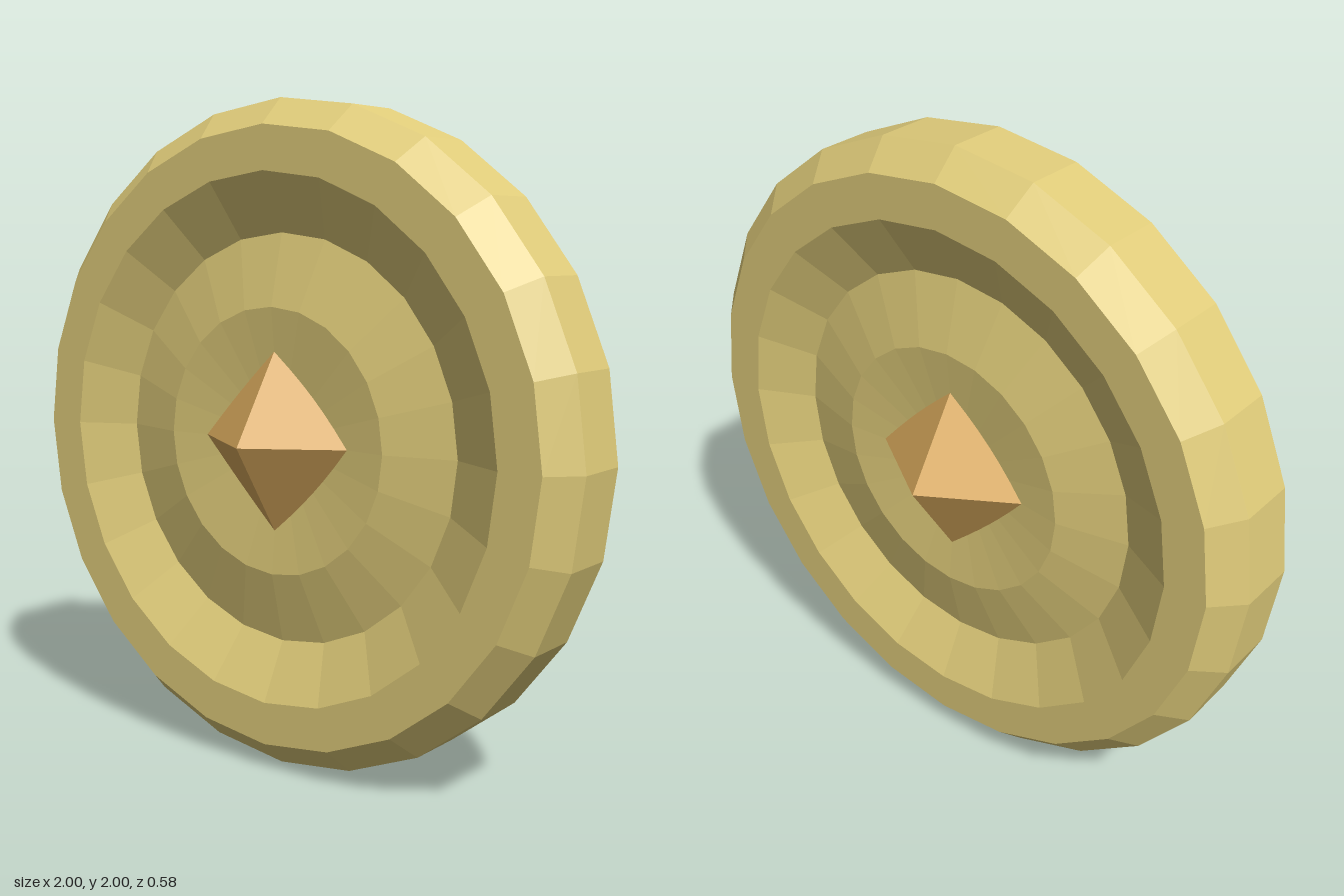
import * as THREE from 'three';

const gold = new THREE.MeshStandardMaterial({ color: 0xe0cc7a });
gold.name = 'pale gold';
const amber = new THREE.MeshStandardMaterial({ color: 0xdcac5e });
amber.name = 'amber';

// Gives every triangle its own normal for the faceted look
function faceted(geometry) {
  const flat = geometry.index ? geometry.toNonIndexed() : geometry;
  flat.computeVertexNormals();
  return flat;
}

function addPart(group, name, geometry, material) {
  const mesh = new THREE.Mesh(faceted(geometry), material);
  mesh.name = name;
  mesh.position.y = 1;
  group.add(mesh);
}

export function createModel() {
  const model = new THREE.Group();
  model.name = 'medallion';

  // Half profile of one face, as radius and depth: dish, ridge, groove, rim, chamfer
  const half = [[0, 0.095], [0.4, 0.135], [0.615, 0.085], [0.79, 0.173], [0.92, 0.173], [1, 0.09]];
  const profile = [
    ...half.map(([r, d]) => new THREE.Vector2(r, -d)),
    ...half.map(([r, d]) => new THREE.Vector2(r, d)).reverse(),
  ];
  const disc = new THREE.LatheGeometry(profile, 24);
  disc.rotateX(Math.PI / 2);
  addPart(model, 'disc', disc, gold);

  // Flattened octahedron set through the centre, showing on both faces
  const gem = new THREE.OctahedronGeometry(1);
  gem.scale(0.46, 0.46, 0.292);
  addPart(model, 'gem', gem, amber);

  return model;
}
